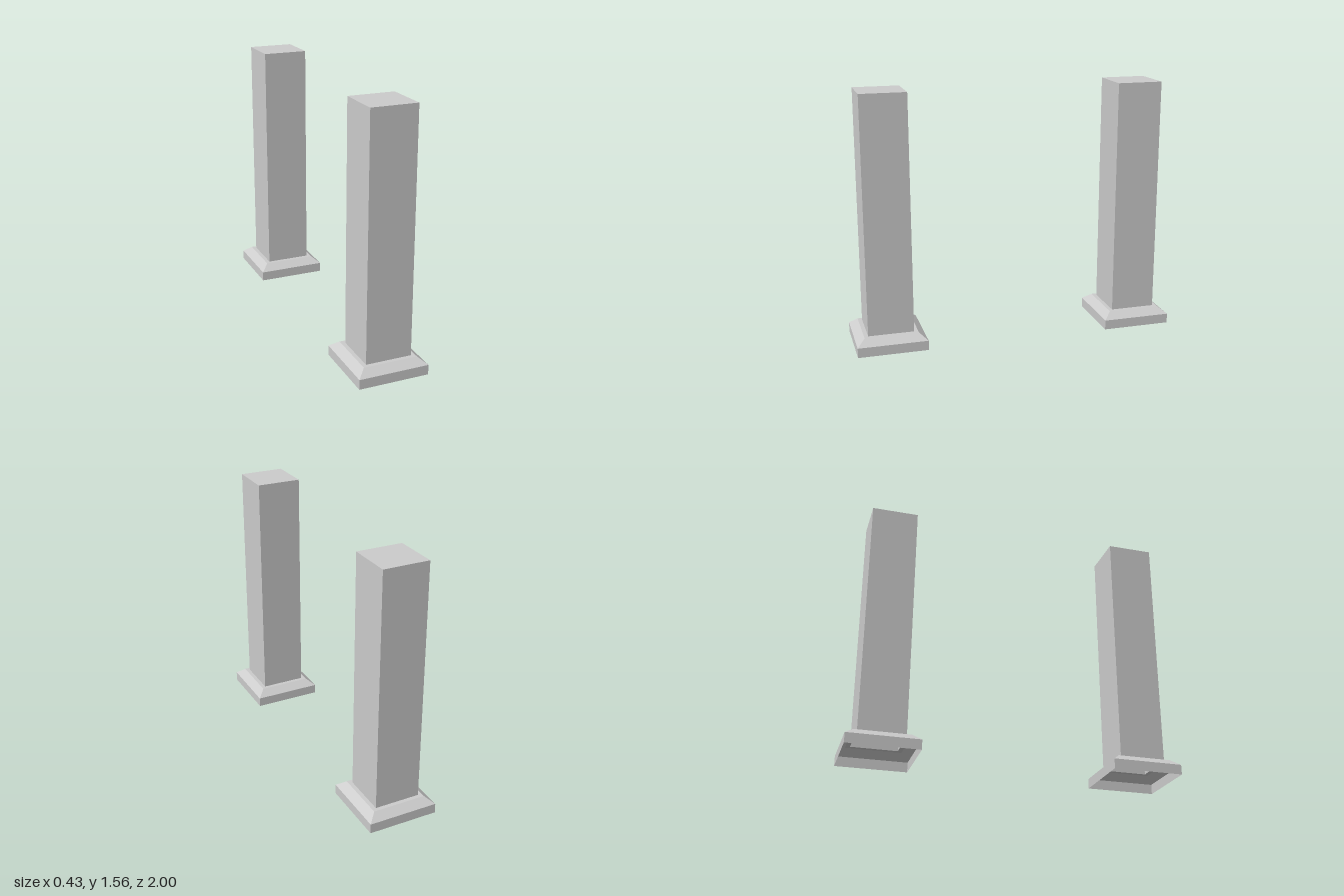
import * as THREE from 'three';

const stone = new THREE.MeshStandardMaterial({ color: 0xcccccc, flatShading: true, side: THREE.DoubleSide });
stone.name = 'grey stone';

// Square open shell from a profile of [half width, height] points
function squareShell(name, profile) {
  const points = profile.map(([half, y]) => new THREE.Vector2(half * Math.SQRT2, y));
  const geometry = new THREE.LatheGeometry(points, 4, Math.PI / 4).toNonIndexed();
  geometry.computeVertexNormals();
  const mesh = new THREE.Mesh(geometry, stone);
  mesh.name = name;
  return mesh;
}

function createPillar(name, z) {
  const pillar = new THREE.Group();
  pillar.name = name;
  pillar.position.z = z;
  // Hollow plinth: upright skirt, bevel and narrow ledge, open below
  pillar.add(squareShell('plinth', [[0.214, 0], [0.214, 0.06], [0.165, 0.1], [0.14, 0.1]]));
  // Hollow shaft, closed only at the top
  pillar.add(squareShell('shaft', [[0.14, 0.1], [0.14, 1.56], [0, 1.56]]));
  return pillar;
}

export function createModel() {
  const model = new THREE.Group();
  model.name = 'pillarPair';
  model.add(createPillar('frontPillar', 0.786), createPillar('backPillar', -0.786));
  return model;
}
